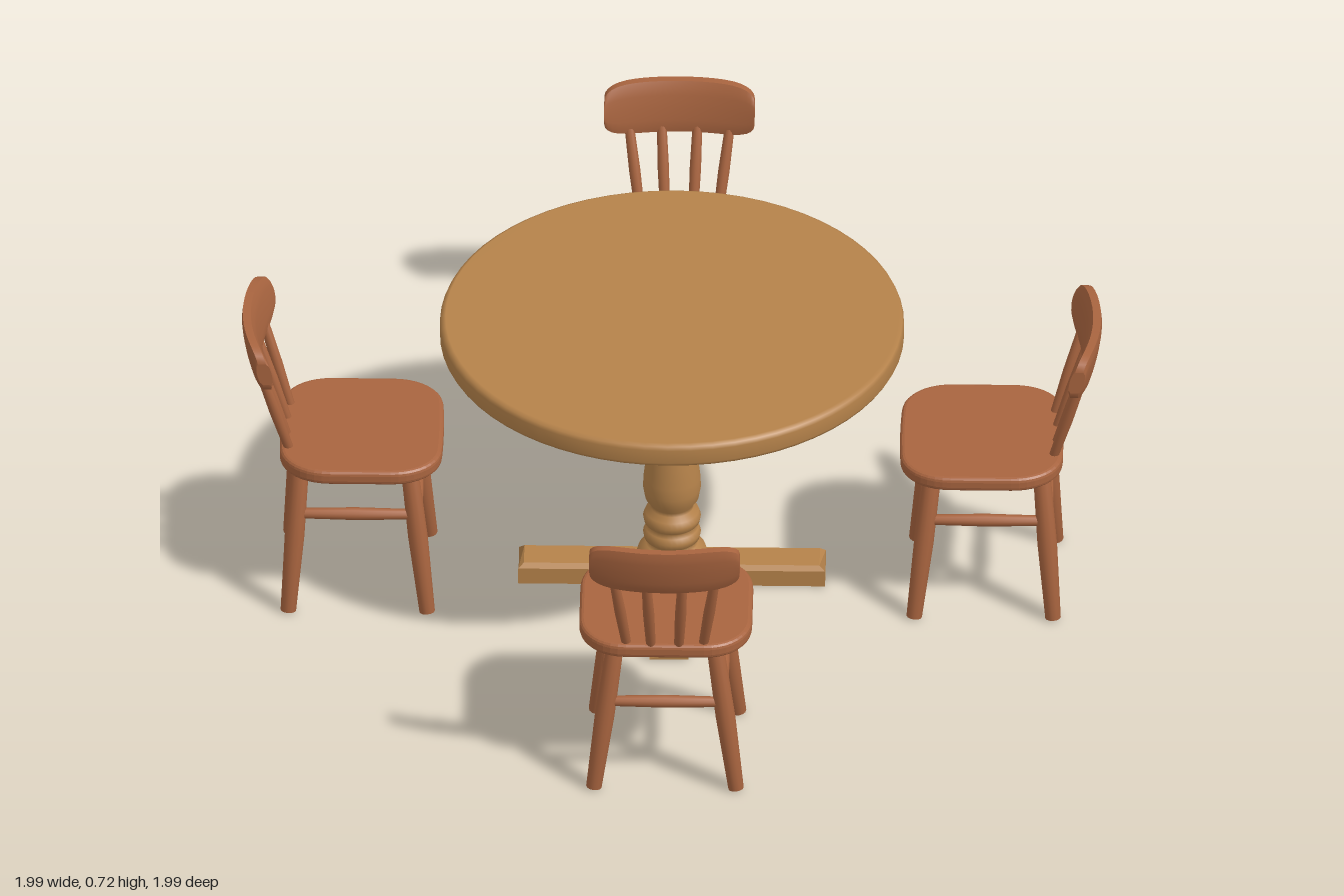
import * as THREE from 'three';

const tableWood = new THREE.MeshStandardMaterial({ name: 'golden wood', color: 0xb5824a });
const chairWood = new THREE.MeshStandardMaterial({ name: 'reddish wood', color: 0xa8643f });

function add(parent, name, geometry, material) {
  const mesh = new THREE.Mesh(geometry, material);
  mesh.name = name;
  parent.add(mesh);
  return mesh;
}

// Turned rod between two points, tapering from radius ra to rb with a slight belly
function rod(parent, name, a, b, ra, rb, belly = 1.1) {
  const from = new THREE.Vector3(...a), to = new THREE.Vector3(...b);
  const length = from.distanceTo(to);
  const profile = [[0, 0], [ra, 0], [(ra + rb) / 2 * belly, length * 0.5], [rb, length], [0, length]];
  const mesh = add(parent, name, lathe(profile, 12), chairWood);
  mesh.position.copy(from);
  mesh.quaternion.setFromUnitVectors(new THREE.Vector3(0, 1, 0), to.sub(from).normalize());
}

function lathe(profile, sides) {
  return new THREE.LatheGeometry(profile.map(([r, y]) => new THREE.Vector2(r, y)), sides);
}

function createTable() {
  const table = new THREE.Group();
  table.name = 'table';

  // Round top with softened rim
  add(table, 'tableTop', lathe([[0, 0.66], [0.525, 0.66], [0.532, 0.663], [0.537, 0.672],
    [0.537, 0.706], [0.533, 0.715], [0.524, 0.72], [0, 0.721]], 64), tableWood);

  // Turned pedestal
  add(table, 'pedestal', lathe([[0, 0.005], [0.085, 0.005], [0.085, 0.055], [0.078, 0.08], [0.06, 0.095],
    [0.052, 0.102], [0.064, 0.112], [0.067, 0.126], [0.062, 0.14], [0.053, 0.146], [0.064, 0.156],
    [0.067, 0.17], [0.062, 0.184], [0.05, 0.195], [0.05, 0.205], [0.062, 0.222], [0.067, 0.25],
    [0.066, 0.28], [0.06, 0.33], [0.052, 0.39], [0.044, 0.46], [0.039, 0.52], [0.037, 0.545],
    [0.048, 0.555], [0.051, 0.567], [0.046, 0.58], [0.036, 0.586], [0.034, 0.602], [0.046, 0.614],
    [0.052, 0.628], [0.056, 0.645], [0.056, 0.662]], 32), tableWood);

  // Four feet in a cross, with sloped ends and chamfered tops
  const section = new THREE.Shape([[-0.045, 0.004], [0.045, 0.004], [0.045, 0.045],
    [0.036, 0.056], [-0.036, 0.056], [-0.045, 0.045]].map(([x, y]) => new THREE.Vector2(x, y)));
  for (let i = 0; i < 4; i++) {
    const geometry = new THREE.ExtrudeGeometry(section, { depth: 0.355, bevelEnabled: false });
    const p = geometry.attributes.position;
    for (let v = 0; v < p.count; v++) {
      if (p.getZ(v) > 0.3 && p.getY(v) > 0.05) p.setZ(v, 0.342);
    }
    geometry.computeVertexNormals();
    add(table, 'pedestalFoot', geometry, tableWood).rotation.y = i * Math.PI / 2;
  }
  return table;
}

// Rounded-square seat with softened edges
function seatGeometry() {
  const w = 0.19, front = -0.178, back = 0.178;
  const s = new THREE.Shape();
  s.moveTo(-0.09, front);
  s.quadraticCurveTo(0, front - 0.004, 0.09, front);
  s.bezierCurveTo(0.15, front, w, -0.13, w, -0.07);
  s.lineTo(w, 0.07);
  s.bezierCurveTo(w, 0.13, 0.15, back, 0.09, back);
  s.lineTo(-0.09, back);
  s.bezierCurveTo(-0.15, back, -w, 0.13, -w, 0.07);
  s.lineTo(-w, -0.07);
  s.bezierCurveTo(-w, -0.13, -0.15, front, -0.09, front);
  return new THREE.ExtrudeGeometry(s, {
    depth: 0.014, bevelThickness: 0.011, bevelSize: 0.01, bevelSegments: 3, curveSegments: 10,
  }).rotateX(Math.PI / 2);
}

// Back rail: a rounded slab bowed backwards and leaning
function railGeometry() {
  const geometry = new THREE.BoxGeometry(2, 2, 2, 20, 8, 2);
  const p = geometry.attributes.position;
  for (let i = 0; i < p.count; i++) {
    const u = p.getX(i), v = p.getY(i), w = p.getZ(i);
    const x = 0.174 * Math.sin(u * Math.PI / 2);
    const end = Math.abs(x) / 0.174;
    const height = 0.064 * (0.45 + 0.55 * Math.pow(1 - Math.pow(end, 6), 0.5));
    const thick = 0.017 * (0.55 + 0.45 * Math.sqrt(1 - v * v));
    const y = v * height - (v > 0 ? 0.004 * Math.cos(u * Math.PI / 2) : 0);
    p.setXYZ(i, x, y, w * thick + 0.2 * y - 0.032 * end * end);
  }
  geometry.computeVertexNormals();
  return geometry;
}

// Chair on the +z side, its back to +z
function createChair() {
  const chair = new THREE.Group();
  chair.name = 'chair';
  add(chair, 'seat', seatGeometry(), chairWood).position.set(0, 0.4, 0.718);
  add(chair, 'backRail', railGeometry(), chairWood).position.set(0, 0.664, 0.972);

  const ends = { frontLeg: [0.607, 0.563], backLeg: [0.857, 0.885] };
  // Point on a leg's axis at height y
  const legPoint = (leg, side, y) => {
    const t = y / 0.385;
    const [top, foot] = ends[leg];
    return [side * THREE.MathUtils.lerp(0.165, 0.115, t), y, THREE.MathUtils.lerp(foot, top, t)];
  };
  for (const side of [-1, 1]) {
    for (const leg of ['frontLeg', 'backLeg']) {
      rod(chair, leg, legPoint(leg, side, 0.004), legPoint(leg, side, 0.385), 0.018, 0.02, 1.2);
    }
    rod(chair, 'sideStretcher', legPoint('frontLeg', side, 0.252), legPoint('backLeg', side, 0.252), 0.012, 0.012, 1.25);
    // Two spindles on each side of the middle
    rod(chair, 'outerSpindle', [side * 0.088, 0.395, 0.882], [side * 0.118, 0.63, 0.95], 0.011, 0.011, 1.2);
    rod(chair, 'innerSpindle', [side * 0.032, 0.395, 0.888], [side * 0.042, 0.63, 0.962], 0.011, 0.011, 1.2);
  }
  for (const leg of ['frontLeg', 'backLeg']) {
    rod(chair, 'crossStretcher', legPoint(leg, -1, 0.232), legPoint(leg, 1, 0.232), 0.012, 0.012, 1.25);
  }
  return chair;
}

export function createModel() {
  const model = new THREE.Group();
  model.name = 'diningSet';
  model.add(createTable());
  for (let i = 0; i < 4; i++) {
    const chair = createChair();
    chair.rotation.y = i * Math.PI / 2;
    model.add(chair);
  }
  return model;
}
